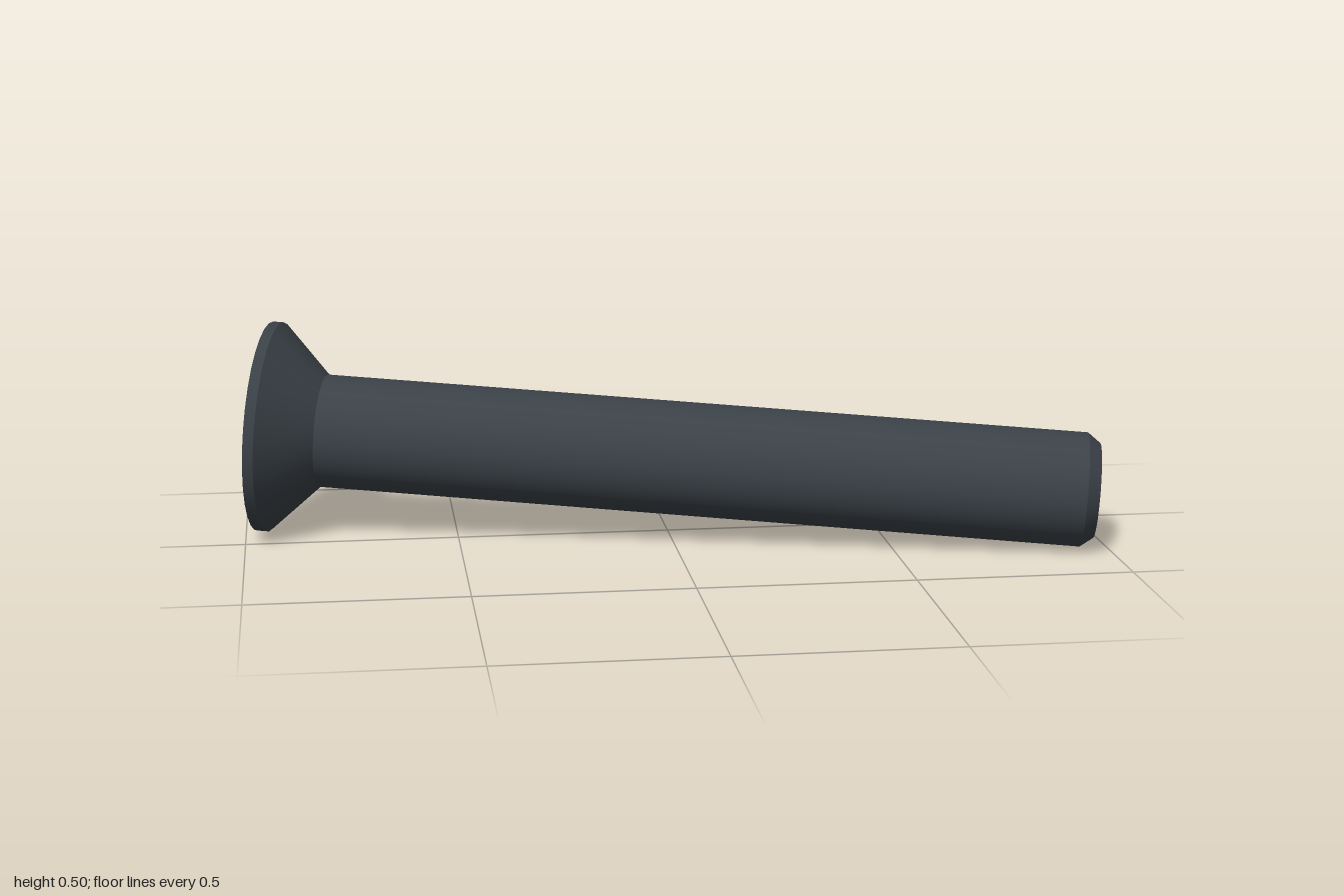
import * as THREE from 'three';

const HEAD_R = 0.25, SHAFT_R = 0.134, LENGTH = 1.969;
const HEAD_SIDES = 32, SHAFT_SIDES = 64;

const steel = new THREE.MeshStandardMaterial({ color: 0x3a4147 });
steel.name = 'dark steel';

// One band of the turned body, smooth around and sharp at its ends
function band(name, r0, y0, r1, y1, sides) {
  const points = [new THREE.Vector2(r0, y0), new THREE.Vector2(r1, y1)];
  const mesh = new THREE.Mesh(new THREE.LatheGeometry(points, sides), steel);
  mesh.name = name;
  return mesh;
}

// Outline of the driver cross, counter-clockwise
function cross(reach, half, turn) {
  const points = [];
  for (let i = 0; i < 4; i++) {
    for (const [x, y] of [[reach, -half], [reach, half], [half, half]]) {
      points.push(new THREE.Vector2(x, y)
        .rotateAround(new THREE.Vector2(), i * Math.PI / 2 + turn));
    }
  }
  return points;
}

// Flat plate facing out of the head, at a given depth
function plate(name, shape, depth) {
  const geometry = new THREE.ShapeGeometry(shape);
  geometry.rotateX(Math.PI / 2);
  geometry.translate(0, depth, 0);
  const mesh = new THREE.Mesh(geometry, steel);
  mesh.name = name;
  return mesh;
}

// Sloping walls between the mouth and the floor of the recess
function recessWalls(mouth, floor, depth) {
  const positions = [];
  const n = mouth.length;
  for (let i = 0; i < n; i++) {
    const j = (i + 1) % n;
    const a = [mouth[i].x, 0, mouth[i].y], b = [mouth[j].x, 0, mouth[j].y];
    const c = [floor[j].x, depth, floor[j].y], d = [floor[i].x, depth, floor[i].y];
    positions.push(...a, ...b, ...d, ...b, ...c, ...d);
  }
  const geometry = new THREE.BufferGeometry();
  geometry.setAttribute('position', new THREE.Float32BufferAttribute(positions, 3));
  geometry.computeVertexNormals();
  const mesh = new THREE.Mesh(geometry, steel);
  mesh.name = 'recessWalls';
  return mesh;
}

export function createModel() {
  const model = new THREE.Group();
  model.name = 'countersunkScrew';

  // Everything is built along local +y, from head face to tip
  const screw = new THREE.Group();
  screw.name = 'screw';
  model.add(screw);

  // Countersunk head
  screw.add(band('headRim', HEAD_R, 0, HEAD_R, 0.025, HEAD_SIDES));
  screw.add(band('headCone', HEAD_R, 0.025, SHAFT_R - 0.001, 0.142, HEAD_SIDES));

  // Shaft with chamfered tip
  screw.add(band('shaft', SHAFT_R, 0.139, SHAFT_R, LENGTH - 0.03, SHAFT_SIDES));
  screw.add(band('tipChamfer', SHAFT_R, LENGTH - 0.03, 0.1115, LENGTH, SHAFT_SIDES));
  screw.add(band('tipFace', 0.1115, LENGTH, 0, LENGTH, SHAFT_SIDES));

  // Head face with the tapered cross recess
  const mouth = cross(0.13, 0.033, 0.08);
  const floor = cross(0.06, 0.022, 0.08);
  const disc = [];
  for (let i = 0; i < HEAD_SIDES; i++) {
    const a = i / HEAD_SIDES * Math.PI * 2;
    disc.push(new THREE.Vector2(Math.cos(a) * HEAD_R, Math.sin(a) * HEAD_R));
  }
  const face = new THREE.Shape(disc);
  face.holes.push(new THREE.Path(mouth));
  screw.add(plate('headFace', face, 0));
  screw.add(recessWalls(mouth, floor, 0.11));
  screw.add(plate('recessFloor', new THREE.Shape(floor), 0.11));

  // Lay the screw on its head rim and tip
  const axis = new THREE.Vector3(0.976, -0.06, 0.208).normalize();
  const up = new THREE.Vector3(0, 1, 0).addScaledVector(axis, -axis.y).normalize();
  const side = new THREE.Vector3().crossVectors(axis, up);
  screw.quaternion.setFromRotationMatrix(new THREE.Matrix4().makeBasis(side, axis, up));
  screw.position.set(-0.946, 0.2515, -0.1435);

  return model;
}
